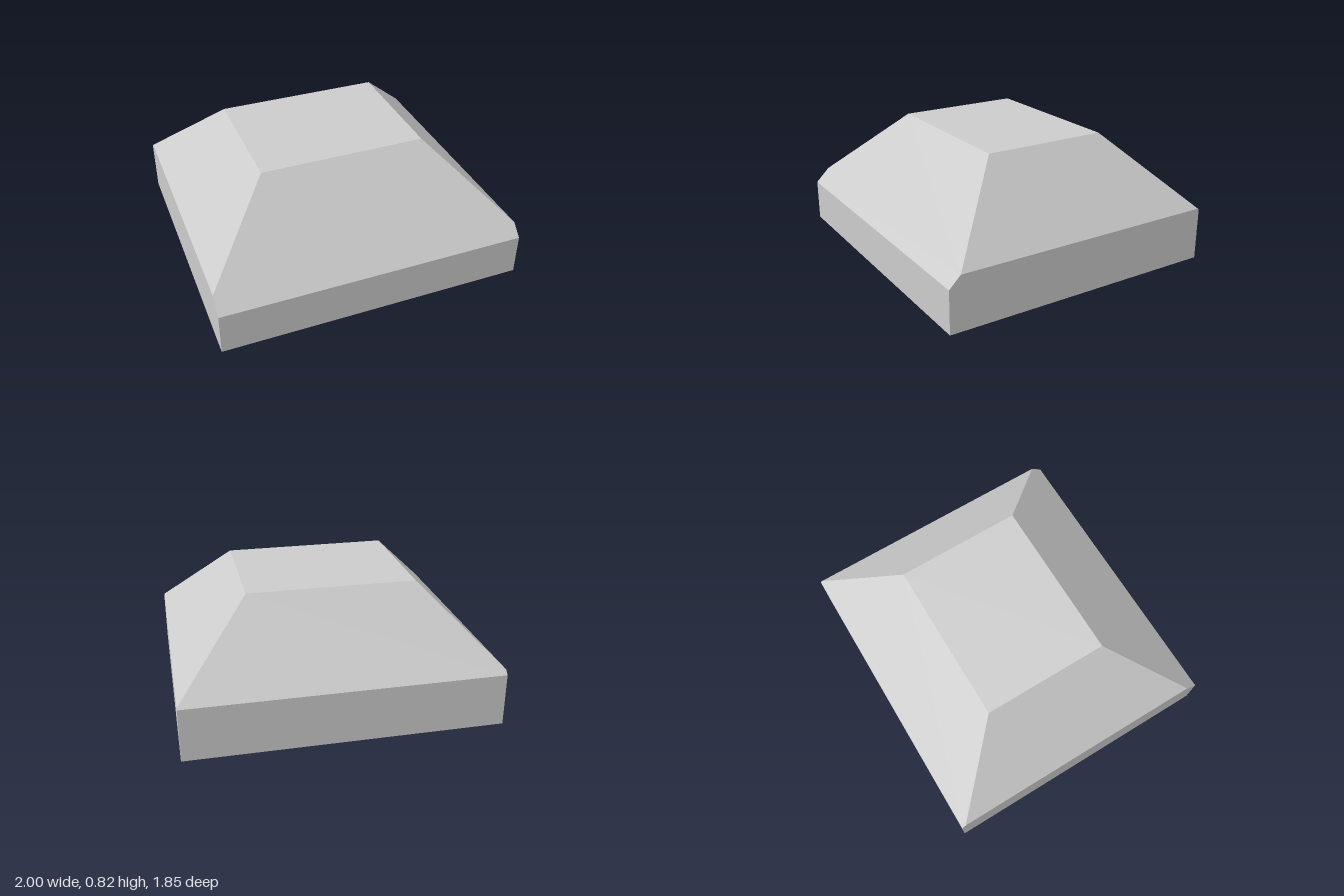
import * as THREE from 'three';
import { ConvexGeometry } from 'three/addons/geometries/ConvexGeometry.js';

export function createModel() {
  const group = new THREE.Group();
  group.name = 'hippedBlock';

  const halfX = 1, halfZ = 0.927, height = 0.82;
  // Flat top is slightly off centre; every slope falls at 45 degrees
  const topX = { '-1': -0.548, '1': 0.53 };
  const topZ = { '-1': -0.448, '1': 0.383 };

  const points = [];
  for (const sx of [-1, 1]) {
    for (const sz of [-1, 1]) {
      const tx = topX[sx], tz = topZ[sz];
      const runX = halfX - Math.abs(tx), runZ = halfZ - Math.abs(tz);
      const ridge = Math.min(runX, runZ), eave = Math.max(runX, runZ);
      points.push(
        // base corner and top corner
        new THREE.Vector3(sx * halfX, 0, sz * halfZ),
        new THREE.Vector3(tx, height, tz),
        // foot of the hip ridge, where it meets the nearer wall
        new THREE.Vector3(tx + sx * ridge, height - ridge, tz + sz * ridge),
        // wall corner, where the longer slope ends
        new THREE.Vector3(sx * halfX, height - eave, sz * halfZ)
      );
    }
  }

  const block = new THREE.Mesh(
    new ConvexGeometry(points),
    new THREE.MeshStandardMaterial({ color: 0xcccccc, flatShading: true })
  );
  block.name = 'slopedBlock';
  group.add(block);
  return group;
}
